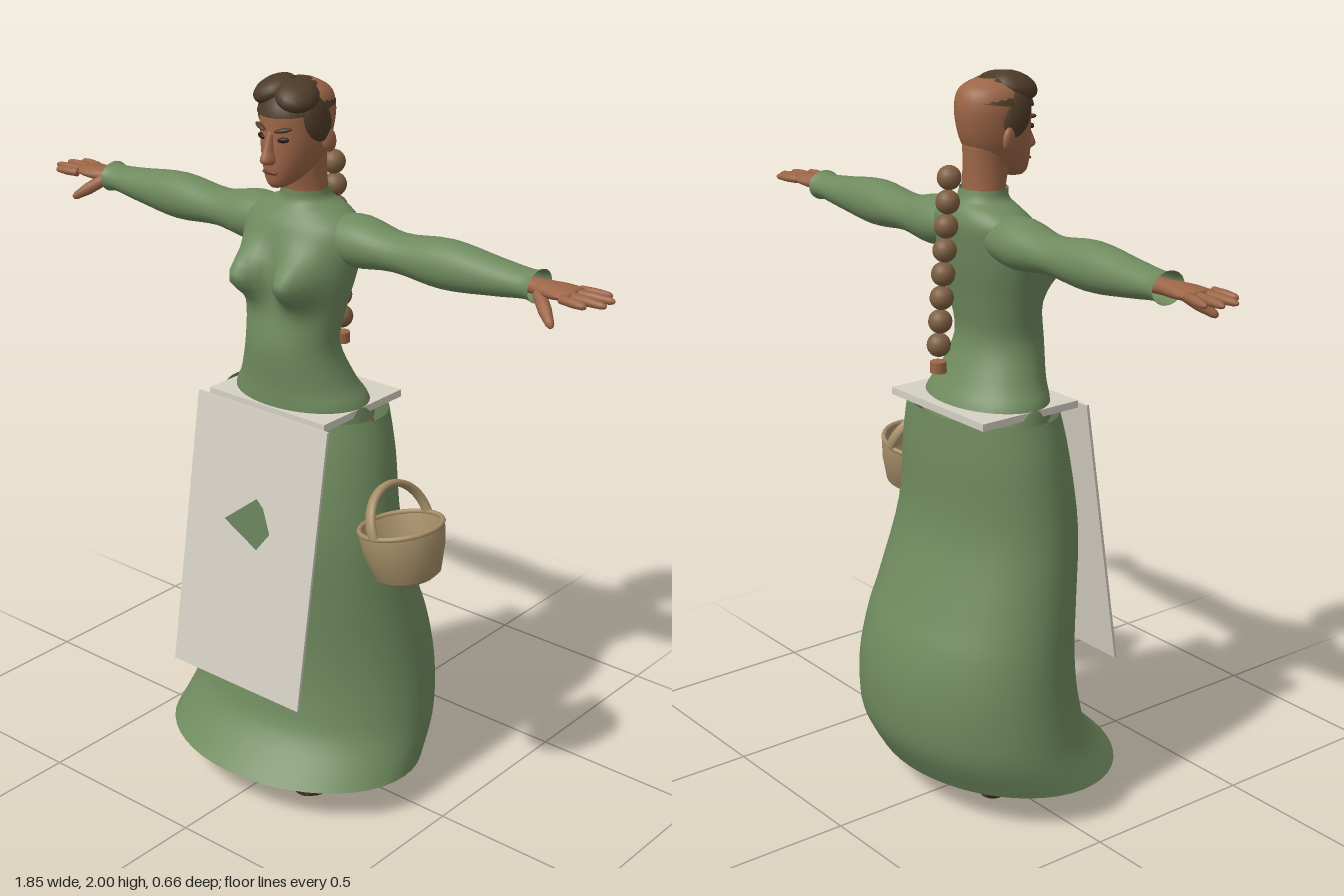
import * as THREE from 'three';

const mat = (name, color, side = THREE.FrontSide) => {
  const m = new THREE.MeshStandardMaterial({ color, side });
  m.name = name;
  return m;
};

// Catmull-Rom through rows of numbers
function refine(rows, sub) {
  const out = [], n = rows.length;
  for (let i = 0; i < n - 1; i++) {
    const [a, b, c, d] = [rows[Math.max(i - 1, 0)], rows[i], rows[i + 1], rows[Math.min(i + 2, n - 1)]];
    for (let k = 0; k < sub; k++) {
      const t = k / sub;
      out.push(b.map((_, j) => 0.5 * (2 * b[j] + (c[j] - a[j]) * t
        + (2 * a[j] - 5 * b[j] + 4 * c[j] - d[j]) * t * t
        + (3 * b[j] - a[j] - 3 * c[j] + d[j]) * t * t * t)));
    }
  }
  out.push(rows[n - 1]);
  return out;
}

// Skin over elliptical sections: row = [position on axis, centre u, centre v, radius u, radius v]
function loft(axis, rows, { side = 1, open = false, seg = 28, sub = 4, shape = null } = {}) {
  const pos = [], idx = [], rings = refine(rows, sub);
  const put = (t, u, v) => {
    const p = axis === 'y' ? [u * side, t, v] : axis === 'x' ? [t * side, u, v] : [u * side, v, t];
    if (shape) shape(p);
    pos.push(...p);
  };
  const dir = axis === 'y' ? side : axis === 'x' ? -side : -side;
  for (const [t, cu, cv, ru, rv] of rings) {
    for (let j = 0; j < seg; j++) {
      const a = (j / seg) * Math.PI * 2;
      put(t, cu + ru * Math.cos(a), cv + dir * rv * Math.sin(a));
    }
  }
  for (let i = 0; i < rings.length - 1; i++) {
    for (let j = 0; j < seg; j++) {
      const k = (j + 1) % seg, a = i * seg + j, b = i * seg + k, c = b + seg, d = a + seg;
      idx.push(a, c, b, a, d, c);
    }
  }
  if (!open) {
    const last = (rings.length - 1) * seg, c0 = rings.length * seg;
    const [f, l] = [rings[0], rings[rings.length - 1]];
    put(f[0], f[1], f[2]);
    put(l[0], l[1], l[2]);
    for (let j = 0; j < seg; j++) {
      const k = (j + 1) % seg;
      idx.push(c0, j, k, c0 + 1, last + k, last + j);
    }
  }
  const g = new THREE.BufferGeometry();
  g.setAttribute('position', new THREE.Float32BufferAttribute(pos, 3));
  g.setIndex(idx);
  g.computeVertexNormals();
  return g;
}

// Section given by height, half width, front z and back z
const fb = (y, w, f, b) => [y, 0, (f + b) / 2, w, (f - b) / 2];

export function createModel() {
  const root = new THREE.Group();
  root.name = 'womanWithBasket';
  const green = mat('greenCloth', 0x6f8a5e, THREE.DoubleSide);
  const cream = mat('creamLinen', 0xd6d0c4);
  const skin = mat('skin', 0x9c6547);
  const hairMat = mat('darkHair', 0x4d3b27);
  const braidMat = mat('braidBrown', 0x7d5f42);
  const leather = mat('shoeLeather', 0x4b3423);
  const wicker = mat('wicker', 0xa58e68, THREE.DoubleSide);
  const dark = mat('eyeDark', 0x2a1c14);
  const lip = mat('lips', 0x74402f);
  const patchGreen = mat('patchGreen', 0x66805a, THREE.DoubleSide);

  const add = (name, geo, m, parent = root) => {
    const mesh = new THREE.Mesh(geo, m);
    mesh.name = name;
    parent.add(mesh);
    return mesh;
  };
  const ball = (name, m, p, r, rot = [0, 0, 0]) => {
    const b = add(name, new THREE.SphereGeometry(1, 18, 12), m);
    b.position.set(...p);
    b.scale.set(...r);
    b.rotation.set(...rot);
    return b;
  };
  // Tapered round-ended finger joint between two points
  const finger = (name, a, b, r1, r2) => {
    const A = new THREE.Vector3(...a), B = new THREE.Vector3(...b), d = B.clone().sub(A), L = d.length();
    const g = new THREE.LatheGeometry([[0, 0], [r1, 0], [r1, L * 0.5], [r2, L * 0.88], [r2 * 0.6, L * 0.97], [0, L]]
      .map(p => new THREE.Vector2(...p)), 10);
    const m = add(name, g, skin);
    m.position.copy(A);
    m.quaternion.setFromUnitVectors(new THREE.Vector3(0, 1, 0), d.normalize());
  };

  // Skirt, open at both ends
  add('skirt', loft('y', [
    fb(0.1, 0.39, 0.33, -0.26), fb(0.2, 0.376, 0.235, -0.315), fb(0.3, 0.364, 0.205, -0.33),
    fb(0.4, 0.352, 0.195, -0.325), fb(0.5, 0.34, 0.195, -0.3), fb(0.6, 0.327, 0.2, -0.26),
    fb(0.8, 0.303, 0.208, -0.195), fb(1.0, 0.278, 0.185, -0.185), fb(1.12, 0.25, 0.163, -0.178),
  ], { open: true, seg: 48 }), green);

  // Bodice with bust
  add('bodice', loft('y', [
    fb(1.1, 0.21, 0.15, -0.15), fb(1.15, 0.197, 0.15, -0.13), fb(1.2, 0.167, 0.15, -0.1),
    fb(1.3, 0.135, 0.155, -0.06), fb(1.4, 0.148, 0.135, -0.07), fb(1.5, 0.17, 0.12, -0.09),
    fb(1.57, 0.18, 0.115, -0.1), fb(1.62, 0.172, 0.1, -0.105), fb(1.655, 0.125, 0.075, -0.095),
    fb(1.678, 0.075, 0.06, -0.075), fb(1.705, 0.066, 0.058, -0.066),
  ], {
    open: true, seg: 48, shape: p => {
      const x = (Math.abs(p[0]) - 0.08) / 0.055, y = (p[1] - 1.49) / 0.06;
      if (p[2] > 0.02) p[2] += 0.095 * Math.exp(-x * x - y * y) * Math.min(1, (p[2] - 0.02) / 0.06);
    },
  }), green);

  // Hips under the skirt
  add('hips', loft('y', [fb(0.85, 0.19, 0.1, -0.11), fb(0.95, 0.225, 0.13, -0.13),
    fb(1.04, 0.228, 0.14, -0.14), fb(1.1, 0.205, 0.13, -0.13)]), skin);

  for (const s of [1, -1]) {
    const n = s > 0 ? 'left' : 'right';
    // Sleeve and hand
    add(n + 'Sleeve', loft('x', [
      [0.09, 1.59, -0.012, 0.055, 0.07], [0.18, 1.587, -0.015, 0.068, 0.075], [0.3, 1.583, -0.016, 0.05, 0.062],
      [0.45, 1.585, -0.016, 0.064, 0.062], [0.6, 1.585, -0.018, 0.047, 0.053],
      [0.69, 1.587, -0.02, 0.036, 0.047], [0.72, 1.588, -0.02, 0.042, 0.052],
    ], { side: s, open: true }), green);
    add(n + 'Palm', loft('x', [
      [0.62, 1.587, -0.018, 0.024, 0.028], [0.7, 1.588, -0.018, 0.02, 0.026], [0.75, 1.589, -0.016, 0.02, 0.036],
      [0.79, 1.591, -0.016, 0.017, 0.046], [0.83, 1.593, -0.016, 0.011, 0.044],
    ], { side: s, seg: 18 }), skin);
    [[0.032, 0.89, 0.04], [0.003, 0.925, 0.006], [-0.025, 0.922, -0.036], [-0.05, 0.895, -0.067]].forEach(([z, x, z2], i) =>
      finger(n + 'Finger' + (i + 1), [s * 0.815, 1.592, z], [s * x, 1.59, z2], 0.012, 0.009));
    finger(n + 'Thumb', [s * 0.735, 1.58, 0.005], [s * 0.81, 1.525, 0.058], 0.017, 0.011);

    // Leg and shoe
    add(n + 'Leg', loft('y', [[0.06, 0.132, -0.055, 0.038, 0.042], [0.15, 0.13, -0.052, 0.038, 0.042],
      [0.32, 0.125, -0.04, 0.054, 0.062], [0.5, 0.12, -0.015, 0.058, 0.062],
      [0.8, 0.11, 0, 0.085, 0.09], [1, 0.1, 0, 0.1, 0.11]], { side: s }), skin);
    add(n + 'Shoe', loft('z', [[-0.11, 0.132, 0.05, 0.022, 0.035], [-0.08, 0.133, 0.056, 0.046, 0.054],
      [0, 0.136, 0.054, 0.051, 0.053], [0.08, 0.14, 0.041, 0.062, 0.039],
      [0.15, 0.142, 0.031, 0.06, 0.028], [0.185, 0.142, 0.025, 0.03, 0.015]], { side: s }), leather);

    // Eye, brow, ear and side hair
    ball(n + 'Eye', dark, [s * 0.036, 1.853, 0.124], [0.016, 0.007, 0.006], [0, s * 0.35, s * 0.1]);
    ball(n + 'Brow', hairMat, [s * 0.037, 1.878, 0.126], [0.024, 0.006, 0.009], [0, s * 0.4, s * 0.2]);
    ball(n + 'Ear', skin, [s * 0.088, 1.84, 0.008], [0.012, 0.032, 0.02], [0.2, s * -0.3, 0]);
    ball(n + 'SideHair', hairMat, [s * 0.076, 1.9, 0.042], [0.022, 0.062, 0.045], [0.35, 0, s * 0.12]);
  }

  // Neck, head and face
  add('neck', loft('y', [fb(1.64, 0.064, 0.05, -0.065), fb(1.7, 0.058, 0.052, -0.062),
    fb(1.76, 0.056, 0.065, -0.06), fb(1.82, 0.06, 0.07, -0.06)]), skin);
  add('head', loft('y', [
    fb(1.725, 0.018, 0.122, 0.075), fb(1.74, 0.038, 0.132, 0.03), fb(1.775, 0.06, 0.136, -0.03),
    fb(1.82, 0.077, 0.135, -0.062), fb(1.87, 0.086, 0.132, -0.077), fb(1.92, 0.089, 0.13, -0.08),
    fb(1.96, 0.074, 0.11, -0.065), fb(1.985, 0.035, 0.07, -0.02)]), skin);
  add('nose', loft('y', [[1.788, 0, 0.135, 0.012, 0.014], [1.8, 0, 0.137, 0.019, 0.028],
    [1.83, 0, 0.132, 0.012, 0.021], [1.87, 0, 0.127, 0.008, 0.01]], { seg: 14 }), skin);
  ball('mouth', lip, [0, 1.767, 0.133], [0.025, 0.007, 0.007]);

  // Swept hair over the front and crown
  const cap = add('hairCap', new THREE.SphereGeometry(1, 28, 14, 0, Math.PI * 2, 0, Math.PI * 0.41), hairMat);
  cap.geometry.rotateX(0.13);
  cap.scale.set(0.097, 0.1, 0.113);
  cap.position.set(0, 1.892, 0.027);
  ball('leftHairWave', hairMat, [0.04, 1.958, 0.075], [0.055, 0.032, 0.062], [0.3, 0.2, -0.35]);
  ball('rightHairWave', hairMat, [-0.035, 1.963, 0.07], [0.055, 0.034, 0.062], [0.3, -0.2, 0.3]);

  // Braid of beads with a tie
  for (let i = 0; i < 8; i++) {
    ball('braidBead' + (i + 1), braidMat, [0, 1.742 - i * 0.0625, -0.116 - i * 0.0053], [0.032, 0.032, 0.032]);
  }
  add('braidTie', new THREE.CylinderGeometry(0.022, 0.022, 0.03, 12), skin).position.set(0, 1.245, -0.155);

  // Apron: waist plate, hanging panel and patch
  add('apronWaist', new THREE.BoxGeometry(0.4, 0.02, 0.32), cream).position.set(0, 1.13, -0.003);
  const apron = new THREE.Group();
  apron.name = 'apron';
  apron.position.set(0, 0.745, 0.23);
  apron.rotation.x = -0.155;
  root.add(apron);
  add('apronPanel', new THREE.BoxGeometry(0.45, 0.78, 0.008), cream, apron);
  const patch = new THREE.Shape([[-0.09, 0.065], [0.03, 0.01], [0.07, 0.065], [0.04, 0.13], [0.015, 0.15]]
    .map(p => new THREE.Vector2(...p)));
  add('apronPatch', new THREE.ShapeGeometry(patch), patchGreen, apron).position.z = 0.006;

  // Tilted basket with arched handle
  const basket = new THREE.Group();
  basket.name = 'basket';
  basket.position.set(0.392, 0.885, 0.075);
  basket.rotation.z = 0.2;
  root.add(basket);
  add('basketBowl', new THREE.LatheGeometry([[0, -0.145], [0.07, -0.143], [0.088, -0.13], [0.108, -0.06], [0.115, 0],
    [0.105, 0], [0.098, -0.06], [0.08, -0.12], [0, -0.125]].map(p => new THREE.Vector2(...p)), 28), wicker, basket);
  const rim = add('basketRim', new THREE.TorusGeometry(0.11, 0.007, 8, 28), wicker, basket);
  rim.rotation.x = Math.PI / 2;
  const handle = add('basketHandle', new THREE.TorusGeometry(0.112, 0.01, 8, 24, Math.PI), wicker, basket);
  handle.geometry.rotateY(Math.PI / 2).scale(1.6, 1, 1);
  handle.rotation.z = 0.25;
  return root;
}
